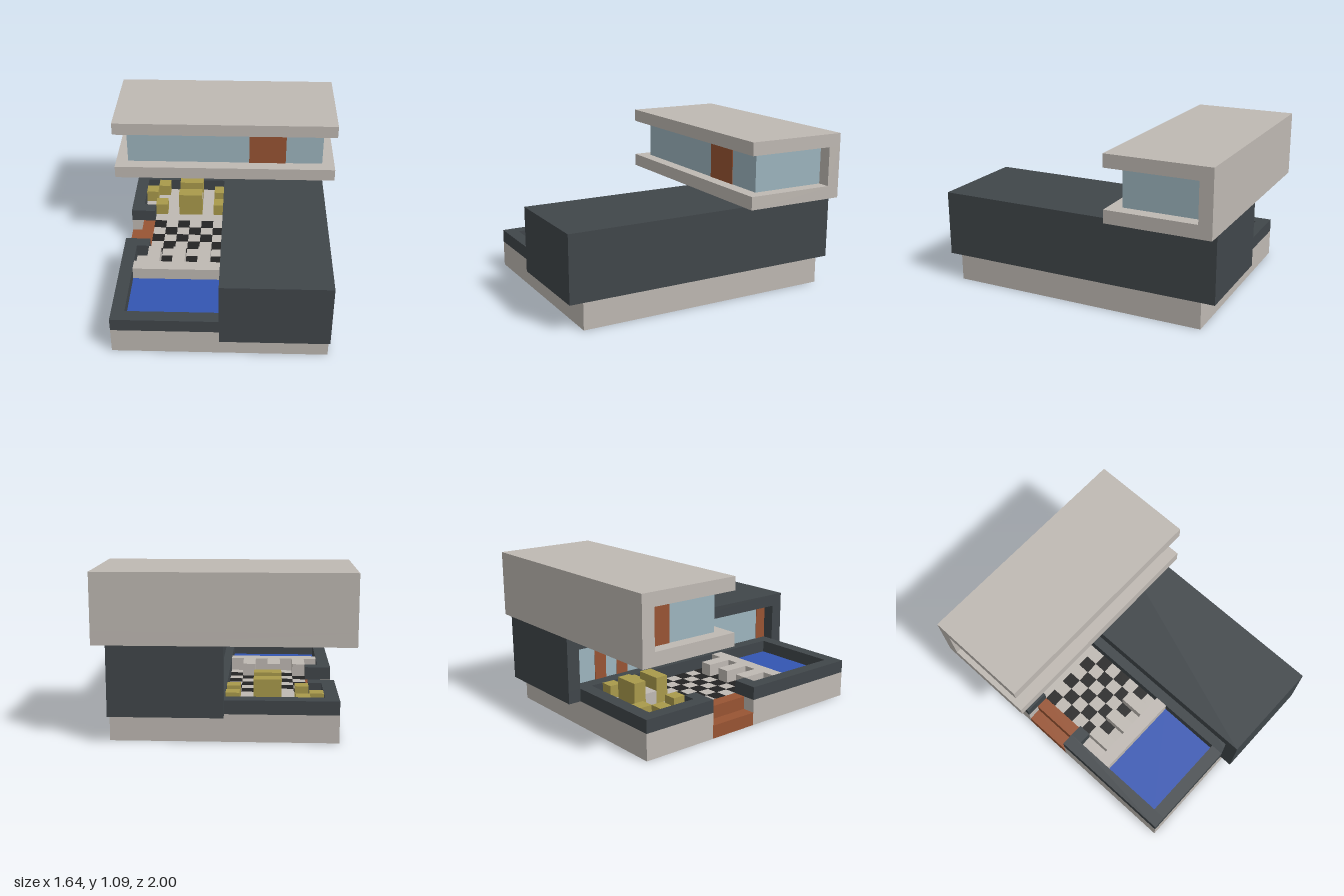
import * as THREE from 'three';

const U = 1 / 11; // one building block

const mat = (name, color) => {
  const m = new THREE.MeshStandardMaterial({ color });
  m.name = name;
  return m;
};

export function createModel() {
  const root = new THREE.Group();
  root.name = 'modernHouse';
  const concrete = mat('warm concrete', 0xbfb9b3);
  const slate = mat('dark slate', 0x40464a);
  const glass = mat('pale glass', 0x9db5be);
  const wood = mat('red wood', 0x985433);
  const water = mat('pool blue', 0x3355b2);
  const cushion = mat('mustard', 0xa99a4b);
  const black = mat('black tile', 0x232323);

  const group = (name) => {
    const g = new THREE.Group();
    g.name = name;
    root.add(g);
    return g;
  };
  // Box from min to max corner, in blocks
  const box = (parent, name, m, x0, x1, y0, y1, z0, z1) => {
    const geo = new THREE.BoxGeometry((x1 - x0) * U, (y1 - y0) * U, (z1 - z0) * U);
    const mesh = new THREE.Mesh(geo, m);
    mesh.position.set((x0 + x1) / 2 * U, (y0 + y1) / 2 * U, (z0 + z1) / 2 * U);
    mesh.name = name;
    parent.add(mesh);
    return mesh;
  };

  // Foundation with a gap for the side steps
  const base = group('foundation');
  box(base, 'foundationCore', concrete, -6, 8, 0, 2, -10, 10);
  box(base, 'foundationBack', concrete, -8, -6, 0, 2, -10, -4);
  box(base, 'foundationFront', concrete, -8, -6, 0, 2, 0, 10);
  box(base, 'stepFooting', concrete, -7, -6, 0, 1, -4, 0);

  const steps = group('sideSteps');
  box(steps, 'lowerStep', wood, -8, -7, 0, 1, -4, 0);
  box(steps, 'upperStep', wood, -7, -6, 1, 2, -4, 0);

  // Ground floor wing, open to the terrace side
  const wing = group('groundWing');
  box(wing, 'wingRoof', slate, 0, 8, 6, 7, -11, 11);
  box(wing, 'wingFloor', slate, 0, 8, 2, 3, -11, 11);
  box(wing, 'wingBackWall', slate, 0, 8, 3, 6, -11, -10);
  box(wing, 'wingFrontWall', slate, 0, 8, 3, 6, 10, 11);
  box(wing, 'wingBody', slate, 2, 8, 3, 6, -10, 10);
  box(wing, 'wingGlass', glass, 1, 2, 3, 6, -10, 10);
  for (const [z0, z1] of [[-8, -7], [-6, -5], [9, 10]])
    box(wing, 'wingWoodPanel', wood, 0.96, 1, 3, 6, z0, z1);

  // Upper storey: C-shaped shell around a glass room
  const upper = group('upperStorey');
  box(upper, 'upperFloor', concrete, -9, 9, 7, 8, -11, -3);
  box(upper, 'upperRoof', concrete, -9, 9, 11, 12, -11, -3);
  box(upper, 'upperBackWall', concrete, -9, 9, 8, 11, -11, -10);
  box(upper, 'upperGlass', glass, -8, 8, 8, 11, -10, -4);
  box(upper, 'frontDoor', wood, 2, 5, 8, 11, -4, -3.96);
  box(upper, 'sideDoor', wood, -8.04, -8, 8, 11, -10, -8);

  // Low walls around the pool and the rear garden
  const walls = group('parapets');
  box(walls, 'poolSideWall', slate, -8, -7, 2, 3, 0, 10);
  box(walls, 'poolFrontWall', slate, -7, 0, 2, 3, 9, 10);
  box(walls, 'poolReturnWall', slate, -7, -6, 2, 3, 0, 1);
  box(walls, 'gardenSideWall', slate, -8, -7, 2, 3, -10, -4);
  box(walls, 'gardenBackWall', slate, -7, 0, 2, 3, -10, -9);
  box(walls, 'gardenReturnWall', slate, -7, -6, 2, 3, -5, -4);

  // Pool with a notched bar counter behind it
  const pool = group('pool');
  box(pool, 'poolWater', water, -7, 0, 1.98, 2.04, 4, 9);
  box(pool, 'barCounter', concrete, -7, 0, 2, 3, 3, 4);
  for (const x of [-6, -4, -2]) box(pool, 'barDivider', concrete, x, x + 1, 2, 3, 1, 3);

  // Checkered terrace
  const terrace = group('terraceTiles');
  for (let x = -6; x < 0; x++)
    for (let z = -4; z < 2; z++)
      if ((x + z) % 2 === 0) box(terrace, 'blackTile', black, x, x + 1, 1.98, 2.03, z, z + 1);

  // Rear garden seating
  const seats = group('gardenSeating');
  for (const z of [-8, -6]) box(seats, 'tallSeat', cushion, -4, -2, 2, 4, z, z + 1);
  box(seats, 'gardenTable', concrete, -4, -2, 2, 3, -7, -6);
  for (const [x, z] of [[-6, -9], [-7, -8], [-6, -6], [-1, -8], [-1, -6]])
    box(seats, 'lowSeat', cushion, x, x + 1, 2, 3, z, z + 1);

  return root;
}
